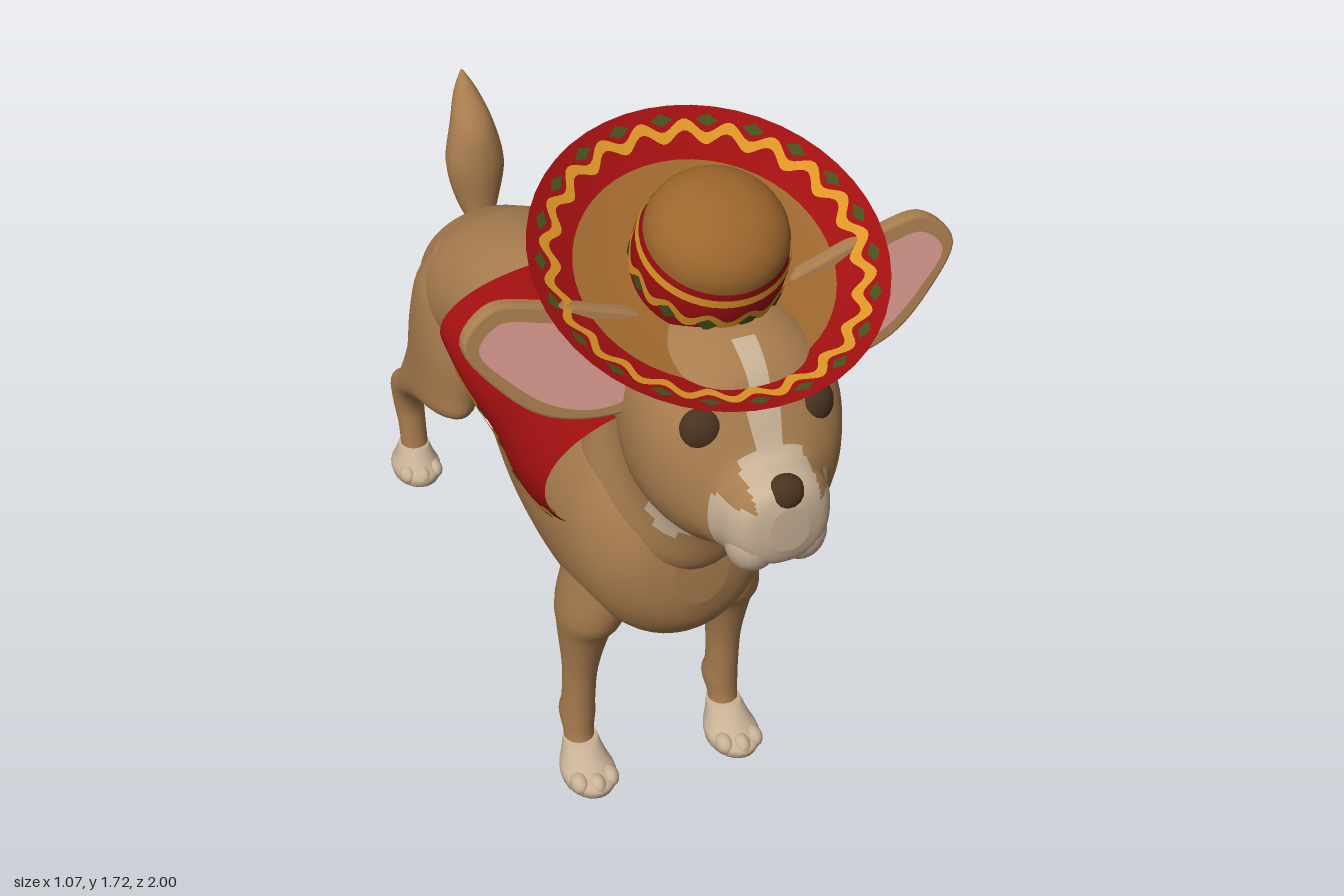
import * as THREE from 'three';

const mat = (name, color, side = THREE.FrontSide) => {
  const m = new THREE.MeshStandardMaterial({ color, side });
  m.name = name;
  return m;
};

// Smooth closed body from sections [x, y, z, radiusX, radiusV, tilt]; pick(x, y, z) chooses a material per face
function loft(name, mats, secs, { n = 28, sub = 4, pow = 1, pick = () => 0 } = {}) {
  const rows = [];
  const at = i => secs[Math.max(0, Math.min(secs.length - 1, i))];
  for (let i = 0; i < secs.length - 1; i++) {
    for (let s = 0; s < sub; s++) {
      const t = s / sub;
      rows.push(secs[i].map((b, k) => {
        const a = at(i - 1)[k], c = at(i + 1)[k], d = at(i + 2)[k];
        return b + 0.5 * t * (c - a + t * (2 * a - 5 * b + 4 * c - d + t * (3 * (b - c) + d - a)));
      }));
    }
  }
  rows.push(secs[secs.length - 1]);
  const pos = [], idx = mats.map(() => []);
  const soft = v => Math.sign(v) * Math.abs(v) ** pow;
  for (const [x, y, z, rx, rv, a] of rows) {
    for (let j = 0; j < n; j++) {
      const th = j / n * Math.PI * 2, v = rv * soft(Math.sin(th));
      pos.push(x + rx * soft(Math.cos(th)), y + v * Math.cos(a), z - v * Math.sin(a));
    }
  }
  const first = rows[0], last = rows[rows.length - 1], c0 = pos.length / 3;
  pos.push(...first.slice(0, 3), ...last.slice(0, 3));
  const face = (...f) => {
    const mid = [0, 1, 2].map(k => f.reduce((s, i) => s + pos[i * 3 + k], 0) / f.length);
    const list = idx[pick(...mid)];
    list.push(f[0], f[1], f[2]);
    if (f.length === 4) list.push(f[0], f[2], f[3]);
  };
  for (let i = 0; i < rows.length - 1; i++) {
    for (let j = 0; j < n; j++) {
      const k = (j + 1) % n;
      face(i * n + j, i * n + k, (i + 1) * n + k, (i + 1) * n + j);
    }
  }
  const e = (rows.length - 1) * n;
  for (let j = 0; j < n; j++) {
    face(c0, (j + 1) % n, j);
    face(c0 + 1, e + j, e + (j + 1) % n);
  }
  const g = new THREE.BufferGeometry();
  g.setAttribute('position', new THREE.Float32BufferAttribute(pos, 3));
  g.setIndex(idx.flat());
  let start = 0;
  idx.forEach((list, m) => { g.addGroup(start, list.length, m); start += list.length; });
  g.computeVertexNormals();
  const mesh = new THREE.Mesh(g, mats);
  mesh.name = name;
  return mesh;
}

// Open sheet from f(u, v) -> [x, y, z]
function sheet(name, material, nu, nv, f) {
  const pos = [], idx = [];
  for (let i = 0; i <= nu; i++) for (let j = 0; j <= nv; j++) pos.push(...f(i / nu, j / nv));
  for (let i = 0; i < nu; i++) {
    for (let j = 0; j < nv; j++) {
      const a = i * (nv + 1) + j, b = a + nv + 1;
      idx.push(a, b, b + 1, a, b + 1, a + 1);
    }
  }
  const g = new THREE.BufferGeometry();
  g.setAttribute('position', new THREE.Float32BufferAttribute(pos, 3));
  g.setIndex(idx);
  g.computeVertexNormals();
  const mesh = new THREE.Mesh(g, material);
  mesh.name = name;
  return mesh;
}

function blob(name, material, p, s) {
  const mesh = new THREE.Mesh(new THREE.SphereGeometry(1, 24, 16), material);
  mesh.position.set(...p);
  mesh.scale.set(...s);
  mesh.name = name;
  return mesh;
}

export function createModel() {
  const model = new THREE.Group();
  const D = THREE.DoubleSide, H = Math.PI / 2, TAU = Math.PI * 2;
  const coat = mat('fawn coat', 0xa87c4e), cream = mat('cream fur', 0xc8b196);
  const straw = mat('hat straw', 0x9c662d, D), red = mat('red cloth', 0xa00f10, D);
  const yellow = mat('yellow trim', 0xdc9526, D), green = mat('green trim', 0x46501c, D);
  const pink = mat('ear pink', 0xd4968c, D), dark = mat('dark brown', 0x49321f);
  const along = list => list.map(([z, top, bot, w]) => [0, (top + bot) / 2, z, w, (top - bot) / 2, 0]);

  // Trunk with pale belly
  model.add(loft('trunk', [coat, cream], along([
    [-0.835, 0.77, 0.66, 0.06], [-0.81, 0.84, 0.58, 0.16], [-0.74, 0.885, 0.53, 0.2], [-0.62, 0.945, 0.52, 0.225],
    [-0.46, 0.985, 0.56, 0.215], [-0.3, 1.0, 0.485, 0.205], [-0.1, 1.0, 0.41, 0.225], [0.1, 1.0, 0.405, 0.24],
    [0.3, 1.02, 0.43, 0.245], [0.42, 1.03, 0.46, 0.235], [0.5, 0.99, 0.49, 0.2], [0.56, 0.92, 0.56, 0.14],
    [0.585, 0.8, 0.64, 0.06],
  ]), { n: 48, sub: 6, pick: (x, y, z) => +(z < 0.1 && z > -0.46 && y < 0.485 + Math.max(0, -z - 0.1) * 0.22) }));

  // Neck with pale throat
  model.add(loft('neck', [coat, cream], [
    [0, 0.84, 0.35, 0.19, 0.24, 0.9], [0, 0.91, 0.415, 0.185, 0.24, 0.9], [0, 1.02, 0.475, 0.155, 0.215, 0.9],
    [0, 1.165, 0.57, 0.155, 0.22, 0.85], [0, 1.25, 0.62, 0.15, 0.2, 0.8],
  ], { n: 40, sub: 6, pick: (x, y, z) => +(y > 0.87 && y < 1.02 && z > 0.57) }));

  // Head with pale muzzle and blaze
  model.add(loft('head', [coat, cream], along([
    [0.42, 1.36, 1.2, 0.05], [0.46, 1.42, 1.1, 0.13], [0.55, 1.46, 1.03, 0.19], [0.65, 1.47, 0.985, 0.22],
    [0.75, 1.45, 0.99, 0.22], [0.82, 1.41, 1.0, 0.195], [0.86, 1.34, 1.02, 0.165], [0.9, 1.27, 1.025, 0.125],
    [0.95, 1.255, 1.04, 0.11], [0.985, 1.24, 1.06, 0.085], [1.0, 1.2, 1.1, 0.04],
  ]), {
    n: 72, sub: 6, pow: 0.88,
    pick: (x, y, z) => +((z > 0.89 && (y < 1.2 || Math.abs(x) < 0.07)) || (z > 0.75 && y > 1.2 && Math.abs(x) < 0.03)),
  }));
  model.add(blob('nose', dark, [0, 1.22, 0.968], [0.042, 0.04, 0.034]));

  // Tail, upright and tufted
  model.add(loft('tail', [coat], [
    [0, 0.77, -0.83, 0.02, 0.025, H], [0, 0.85, -0.86, 0.055, 0.05, H], [0, 0.95, -0.87, 0.075, 0.062, H],
    [0, 1.05, -0.885, 0.055, 0.058, H], [0, 1.12, -0.925, 0.03, 0.033, H], [0, 1.165, -0.95, 0.004, 0.004, H],
  ], { n: 16 }));

  const earEdge = [[0.14, 1.28], [0.14, 1.44], [0.25, 1.49], [0.36, 1.52], [0.47, 1.535], [0.535, 1.47], [0.47, 1.365], [0.38, 1.29], [0.25, 1.26]];
  const earInner = [[0.18, 1.31], [0.18, 1.42], [0.27, 1.46], [0.37, 1.49], [0.46, 1.505], [0.505, 1.46], [0.45, 1.385], [0.365, 1.315], [0.26, 1.285]];
  const upright = (s, list) => list.map(([y, x, z, rx, rz]) => [s * x, y, z, rx, rz, H]);

  for (const s of [1, -1]) {
    const side = s > 0 ? 'left' : 'right';
    // Eyes, jowls and folds behind the ears
    model.add(blob(side + 'Eye', dark, [s * 0.117, 1.31, 0.822], [0.05, 0.054, 0.042]));
    model.add(blob(side + 'Jowl', cream, [s * 0.052, 1.095, 0.935], [0.056, 0.07, 0.055]));
    model.add(blob(side + 'EarFold', coat, [s * 0.14, 1.365, 0.53], [0.08, 0.036, 0.11]));

    // Ears: leaning back, pink inside
    const outline = list => new THREE.Shape(new THREE.CatmullRomCurve3(
      list.map(([x, y]) => new THREE.Vector3(s * x, y, 0)), true).getPoints(48).map(p => new THREE.Vector2(p.x, p.y)));
    const lean = (g, dz) => {
      const p = g.attributes.position;
      for (let i = 0; i < p.count; i++) p.setZ(i, p.getZ(i) + dz - (p.getY(i) - 1.26) * 0.22);
      g.computeVertexNormals();
      return g;
    };
    const ear = new THREE.Mesh(lean(new THREE.ExtrudeGeometry(outline(earEdge), {
      depth: 0.016, bevelThickness: 0.008, bevelSize: 0.006, bevelOffset: -0.006, bevelSegments: 2 }), 0.638), coat);
    ear.name = side + 'Ear';
    const lining = new THREE.Mesh(lean(new THREE.ShapeGeometry(outline(earInner)), 0.666), pink);
    lining.name = side + 'EarLining';
    model.add(ear, lining);

    // Legs and paws
    model.add(loft(side + 'FrontLeg', [coat], upright(s, [
      [0.06, 0.184, 0.32, 0.036, 0.036], [0.1, 0.184, 0.312, 0.036, 0.036], [0.145, 0.182, 0.298, 0.042, 0.05],
      [0.2, 0.182, 0.308, 0.039, 0.042], [0.3, 0.18, 0.315, 0.042, 0.047], [0.42, 0.175, 0.325, 0.06, 0.075],
      [0.5, 0.165, 0.34, 0.075, 0.11], [0.64, 0.14, 0.36, 0.075, 0.12],
    ])));
    model.add(loft(side + 'HindLeg', [coat], upright(s, [
      [0.06, 0.18, -0.915, 0.036, 0.036], [0.14, 0.182, -0.923, 0.036, 0.037], [0.21, 0.185, -0.936, 0.04, 0.052],
      [0.27, 0.187, -0.922, 0.044, 0.073], [0.33, 0.187, -0.845, 0.05, 0.078], [0.385, 0.182, -0.765, 0.06, 0.125],
      [0.43, 0.175, -0.695, 0.07, 0.18], [0.5, 0.165, -0.67, 0.08, 0.175], [0.62, 0.15, -0.65, 0.095, 0.172],
      [0.75, 0.135, -0.64, 0.095, 0.14], [0.85, 0.11, -0.64, 0.07, 0.08],
    ])));
    for (const [name, z0, z1] of [['FrontPaw', 0.32, 0.372], ['HindPaw', -0.917, -0.902]]) {
      model.add(loft(side + name, [cream], upright(s, [
        [0, 0.184, z1, 0.06, 0.083], [0.025, 0.184, z1, 0.064, 0.087], [0.05, 0.184, (z0 + z1) / 2, 0.052, 0.064],
        [0.085, 0.183, z0, 0.04, 0.041],
      ])));
      for (const dx of [-0.038, 0, 0.038]) {
        model.add(blob(side + name + 'Toe', cream, [s * 0.184 + dx, 0.024, z1 + 0.058 - Math.abs(dx) * 0.4], [0.021, 0.024, 0.03]));
      }
    }
  }

  // Blanket: stiff arched cloth, u across the back and z along it
  const cloth = (u, z, off = 0) => {
    const a = u * 2.15, top = 1.075 + 0.033 * Math.tanh((z - 0.12) * 8);
    const low = 0.745 + (z - 0.15) ** 2 * (z > 0.15 ? 1.05 : 0.56);
    const w = 0.31 - 0.02 * Math.exp(-(((z - 0.05) / 0.15) ** 2));
    return [(w + off) * Math.sin(a), top - (top - low) * (1 - Math.cos(a)) / 1.547 + off * Math.cos(a), z];
  };
  model.add(sheet('blanket', red, 30, 48, (u, v) => cloth(v * 2 - 1, -0.24 + u * 0.69)));
  for (const s of [1, -1]) {
    for (const off of [0.005, -0.005]) {
      model.add(sheet('blanketZigzag', yellow, 72, 1, (u, v) =>
        cloth(s * (0.875 + 0.02 * Math.sin(u * TAU * 6) + 0.045 * v), -0.24 + u * 0.69, off)));
      for (let i = 0; i < 6; i++) {
        model.add(sheet('blanketLeaf', green, 2, 1, (u, v) =>
          cloth(s * (0.935 + (v - 0.5) * 0.07 * (1 - Math.abs(2 * u - 1))), -0.2 + i * 0.115 + u * 0.05, off)));
      }
    }
    model.add(sheet('blanketMark', yellow, 8, 1, (u, v) =>
      cloth(s * (0.42 + 0.03 * Math.cos(u * Math.PI) + (v - 0.5) * 0.05 * Math.sin(Math.PI * u)), 0.1 + u * 0.08, 0.006)));
  }

  // Hat: turned brim and crown, tipped forward
  const hat = new THREE.Group();
  hat.name = 'hat';
  hat.position.set(0, 1.485, 0.556);
  hat.rotation.x = 0.416;
  const turned = (name, material, pts) => {
    const m = new THREE.Mesh(new THREE.LatheGeometry(pts.map(p => new THREE.Vector2(...p)), 48), material);
    m.name = name;
    hat.add(m);
  };
  turned('innerBrim', straw, [[0.15, 0], [0.21, 0.002], [0.27, 0.012]]);
  turned('outerBrim', red, [[0.27, 0.012], [0.32, 0.036], [0.37, 0.065]]);
  turned('crownBand', red, [[0.152, 0], [0.158, 0.04], [0.158, 0.08], [0.148, 0.135]]);
  turned('crownDome', straw, Array.from({ length: 11 }, (_, i) => {
    const a = i / 10 * H;
    return [0.148 * Math.cos(a), 0.135 + 0.104 * Math.sin(a)];
  }));
  turned('bandRing', yellow, [[0.158, 0.105], [0.154, 0.123]]);
  const ring = (r, t, h) => [r * Math.sin(t), h, r * Math.cos(t)];
  for (const off of [0.004, -0.004]) {
    const brim = (r, t) => ring(r, t, 0.012 + (r - 0.27) * 0.53 + off);
    hat.add(sheet('brimZigzag', yellow, 216, 1, (u, v) => brim(0.309 + 0.012 * Math.sin(u * TAU * 22) + 0.022 * v, u * TAU)));
    for (let i = 0; i < 22; i++) {
      hat.add(sheet('brimLeaf', green, 2, 1, (u, v) =>
        brim(0.342 + (v - 0.5) * 0.024 * (1 - Math.abs(2 * u - 1)), (i + 0.5 + u * 0.5) / 22 * TAU)));
    }
  }
  hat.add(sheet('bandZigzag', yellow, 120, 1, (u, v) => ring(0.162, u * TAU, 0.045 + 0.012 * Math.sin(u * TAU * 12) + 0.026 * v)));
  for (let i = 0; i < 12; i++) {
    hat.add(sheet('bandLeaf', green, 2, 1, (u, v) =>
      ring(0.163, (i + u * 0.5) / 12 * TAU, 0.05 + (v - 0.5) * 0.04 * (1 - Math.abs(2 * u - 1)))));
  }
  model.add(hat);
  return model;
}
